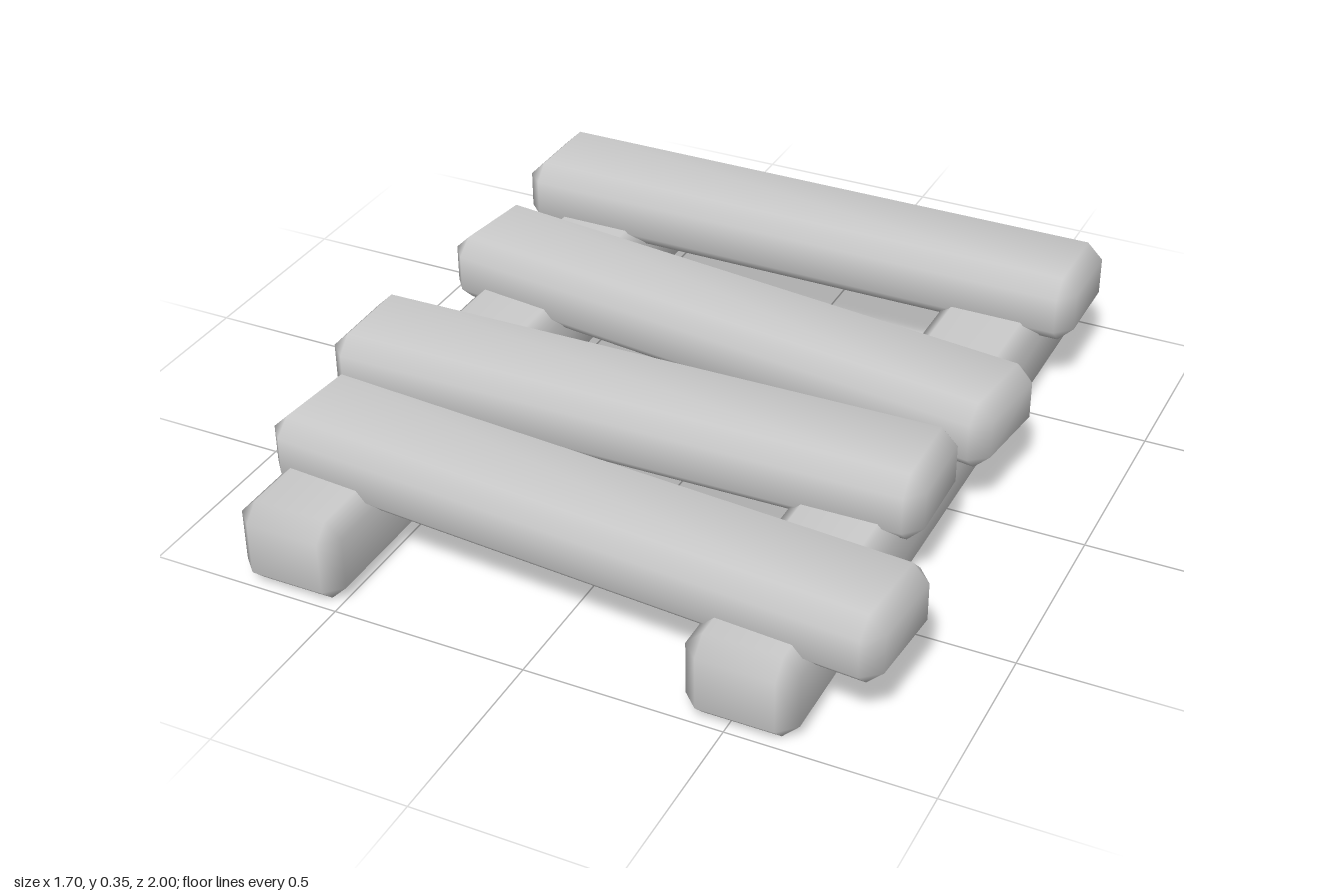
import * as THREE from 'three';
import { ConvexGeometry } from 'three/addons/geometries/ConvexGeometry.js';
import { mergeVertices } from 'three/addons/utils/BufferGeometryUtils.js';

const material = new THREE.MeshStandardMaterial({ color: 0xcccccc });

// Box with a single chamfer on every edge and smooth shared normals
function chamferedBox(w, h, d, c) {
  const points = [];
  for (const sx of [-1, 1]) for (const sy of [-1, 1]) for (const sz of [-1, 1]) {
    const x = w / 2, y = h / 2, z = d / 2;
    points.push(
      new THREE.Vector3(sx * x, sy * (y - c), sz * (z - c)),
      new THREE.Vector3(sx * (x - c), sy * y, sz * (z - c)),
      new THREE.Vector3(sx * (x - c), sy * (y - c), sz * z)
    );
  }
  const hull = new ConvexGeometry(points);
  hull.deleteAttribute('normal');
  const geometry = mergeVertices(hull, 1e-4);
  geometry.computeVertexNormals();
  return geometry;
}

function beam(name, [w, h, d], [x, y, z], turn = 0) {
  const mesh = new THREE.Mesh(chamferedBox(w, h, d, 0.042), material);
  mesh.name = name;
  mesh.position.set(x, y, z);
  mesh.rotation.y = turn;
  return mesh;
}

export function createModel() {
  const model = new THREE.Group();
  model.name = 'woodenPallet';

  // Two long rails on the ground
  model.add(beam('rightRail', [0.275, 0.222, 2], [-0.63, 0.111, 0]));
  model.add(beam('leftRail', [0.275, 0.222, 2], [0.526, 0.111, 0]));

  // Crooked slats, back to front: length, x, y, z, turn
  const slats = [
    [1.603, -0.047, 0.263, -0.716, 0],
    [1.605, -0.03, 0.248, -0.182, -0.125],
    [1.573, -0.067, 0.26, 0.288, 0.017],
    [1.625, 0.024, 0.245, 0.719, -0.077],
  ];
  slats.forEach(([length, x, y, z, turn], i) =>
    model.add(beam(`slat${i + 1}`, [length, 0.183, 0.297], [x, y, z], turn)));

  return model;
}
